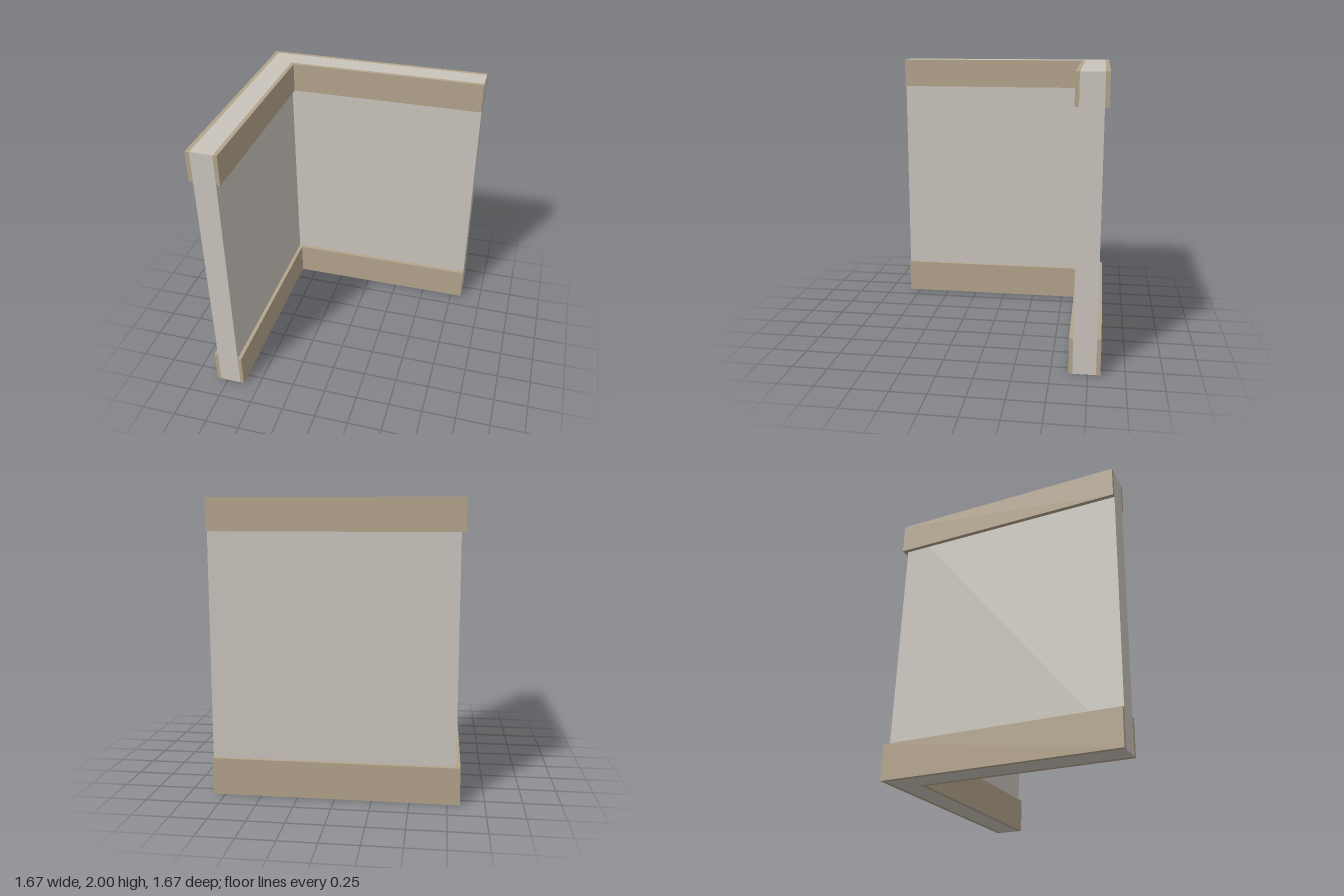
import * as THREE from 'three';

const END = 0.835; // free ends of both wings

// L-shaped strip seen from above: corner at -x, -z, between two offsets, from y0 to y1
function cornerStrip(name, outer, inner, y0, y1, material) {
  const plan = [[outer, END], [inner, END], [inner, inner], [END, inner], [END, outer], [outer, outer]];
  const shape = new THREE.Shape(plan.map(([x, z]) => new THREE.Vector2(x, -z)));
  const geometry = new THREE.ExtrudeGeometry(shape, { depth: y1 - y0, bevelEnabled: false });
  geometry.rotateX(-Math.PI / 2);
  geometry.translate(0, y0, 0);
  const mesh = new THREE.Mesh(geometry, material);
  mesh.name = name;
  return mesh;
}

export function createModel() {
  const plaster = new THREE.MeshStandardMaterial({ color: 0xc9c3bb });
  plaster.name = 'plaster';
  const wood = new THREE.MeshStandardMaterial({ color: 0xb2a38b });
  wood.name = 'wood trim';

  const group = new THREE.Group();
  group.name = 'cornerWall';

  // Full-height wall core
  group.add(cornerStrip('wall', -0.806, -0.648, 0, 2, plaster));

  // Skirting and crown boards on both wall faces
  for (const [name, y0, y1] of [['skirting', 0, 0.253], ['crown', 1.783, 2]]) {
    group.add(cornerStrip(name + 'Outer', -0.835, -0.806, y0, y1, wood));
    group.add(cornerStrip(name + 'Inner', -0.648, -0.62, y0, y1, wood));
  }
  return group;
}
